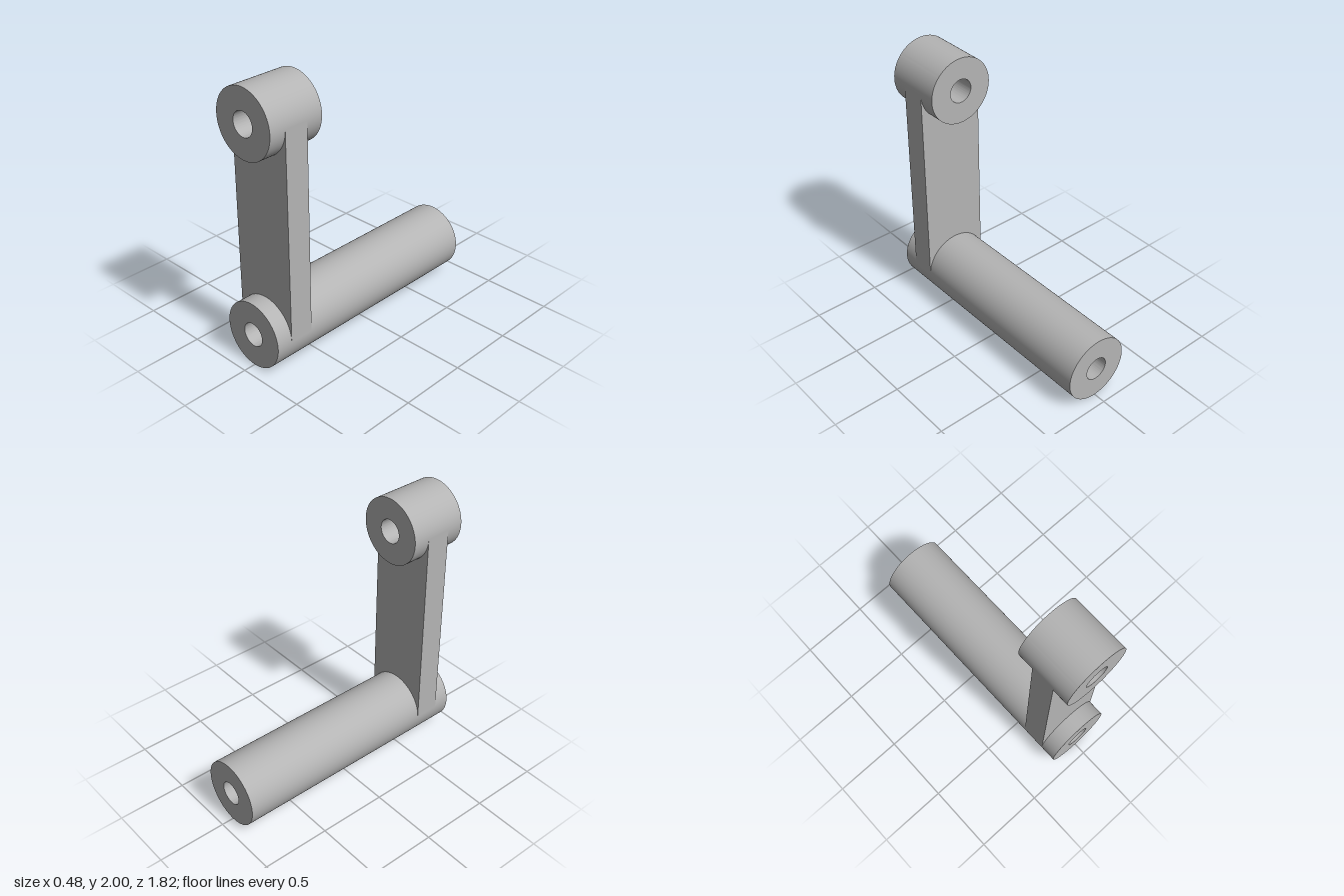
import * as THREE from 'three';
import { toCreasedNormals } from 'three/addons/utils/BufferGeometryUtils.js';

const R = 0.241, BORE = 0.086;      // outer and bore radius
const LOW = R, HIGH = 2 - R;        // axis heights
const FRONT = 0.91;                 // front end of both tubes

// Extrude a shape between two z positions, smooth on curves and sharp on edges
function extrude(shape, zBack, zFront, material, name) {
  const geometry = new THREE.ExtrudeGeometry(shape, {
    depth: zFront - zBack, bevelEnabled: false, curveSegments: 64,
  });
  geometry.translate(0, 0, zBack);
  const mesh = new THREE.Mesh(toCreasedNormals(geometry, 0.6), material);
  mesh.name = name;
  return mesh;
}

// Thick tube lying along z
function tube(y, zBack, material, name) {
  const ring = new THREE.Shape().absarc(0, y, R, 0, Math.PI * 2, false);
  ring.holes.push(new THREE.Path().absarc(0, y, BORE, 0, Math.PI * 2, true));
  return extrude(ring, zBack, FRONT, material, name);
}

export function createModel() {
  const grey = new THREE.MeshStandardMaterial({ color: 0xb4b4b4 });
  grey.name = 'grey metal';

  const model = new THREE.Group();
  model.name = 'crankLever';
  model.add(tube(LOW, -0.91, grey, 'longShaft'));
  model.add(tube(HIGH, 0.487, grey, 'upperBoss'));

  // Flat arm tangent to both tubes, hollowed at its ends to keep the bores open
  const inner = 0.2;
  const web = new THREE.Shape();
  web.moveTo(R, LOW);
  web.lineTo(R, HIGH);
  web.lineTo(inner, HIGH);
  web.absarc(0, HIGH, inner, 0, -Math.PI, true);
  web.lineTo(-R, HIGH);
  web.lineTo(-R, LOW);
  web.lineTo(-inner, LOW);
  web.absarc(0, LOW, inner, Math.PI, 0, true);
  web.closePath();
  model.add(extrude(web, 0.61, 0.79, grey, 'arm'));

  return model;
}
